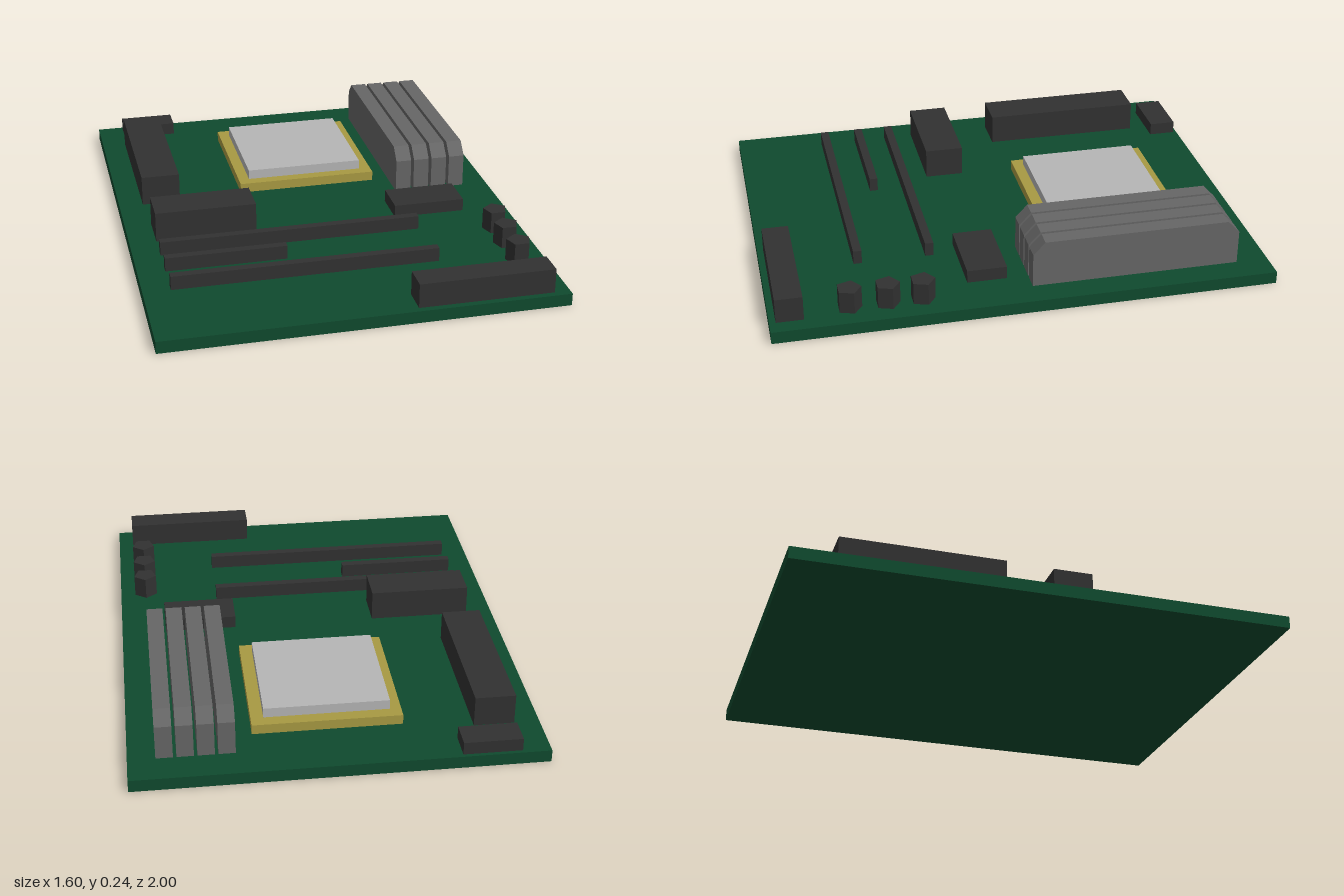
import * as THREE from 'three';

function material(name, color) {
  const m = new THREE.MeshStandardMaterial({ color });
  m.name = name;
  return m;
}

export function createModel() {
  const group = new THREE.Group();
  group.name = 'circuitBoard';
  const green = material('boardGreen', 0x0f4a2e);
  const black = material('plasticBlack', 0x313131);
  const grey = material('moduleGrey', 0x666666);
  const silver = material('lidSilver', 0xb5b5b5);
  const gold = material('socketGold', 0xa89a42);
  const BOARD = 0.05;

  const add = (name, geometry, mat) => {
    const mesh = new THREE.Mesh(geometry, mat);
    mesh.name = name;
    group.add(mesh);
    return mesh;
  };
  // Box given by its extents on each axis
  const block = (name, mat, x0, x1, z0, z1, y0, y1) =>
    add(name, new THREE.BoxGeometry(x1 - x0, y1 - y0, z1 - z0), mat)
      .position.set((x0 + x1) / 2, (y0 + y1) / 2, (z0 + z1) / 2);

  block('board', green, -0.8, 0.8, -1, 1, 0, BOARD);

  // Processor: socket with a metal lid
  block('processorSocket', gold, -0.27, 0.32, -0.755, -0.165, BOARD, 0.09);
  block('processorLid', silver, -0.225, 0.27, -0.705, -0.21, 0.09, 0.13);

  // Connectors and chips
  block('rearPortSmall', black, -0.69, -0.46, -0.985, -0.875, BOARD, 0.102);
  block('rearPortLong', black, -0.7, -0.54, -0.8, -0.14, BOARD, 0.175);
  block('chipsetTall', black, -0.69, -0.275, 0.055, 0.215, BOARD, 0.175);
  block('chipsetLow', black, 0.317, 0.615, 0.055, 0.215, BOARD, 0.102);
  block('frontConnector', black, 0.197, 0.737, 0.868, 0.975, BOARD, 0.15);

  // Expansion slots
  for (const [z, x1] of [[0.323, 0.382], [0.461, -0.2], [0.614, 0.382]])
    block('expansionSlot', black, -0.69, x1, z - 0.017, z + 0.017, BOARD, 0.107);

  // Five-sided capacitors
  for (const z of [0.405, 0.542, 0.69]) {
    const cap = add('capacitor', new THREE.CylinderGeometry(0.05, 0.05, 0.09, 5).toNonIndexed(), black);
    cap.rotation.y = Math.PI;
    cap.geometry.computeVertexNormals();
    cap.position.set(0.69, BOARD + 0.045, z);
  }

  // Memory modules: side profile with clipped top corners, extruded across x
  const profile = new THREE.Shape([
    [0.03, BOARD], [0.87, BOARD], [0.87, 0.19], [0.822, 0.241], [0.078, 0.241], [0.03, 0.19],
  ].map(([a, y]) => new THREE.Vector2(a, y)));
  const moduleGeometry = new THREE.ExtrudeGeometry(profile, { depth: 0.066, bevelEnabled: false });
  moduleGeometry.rotateY(Math.PI / 2);
  for (let i = 0; i < 4; i++)
    add('memoryModule', moduleGeometry, grey).position.x = 0.39 + i * 0.079;

  return group;
}
